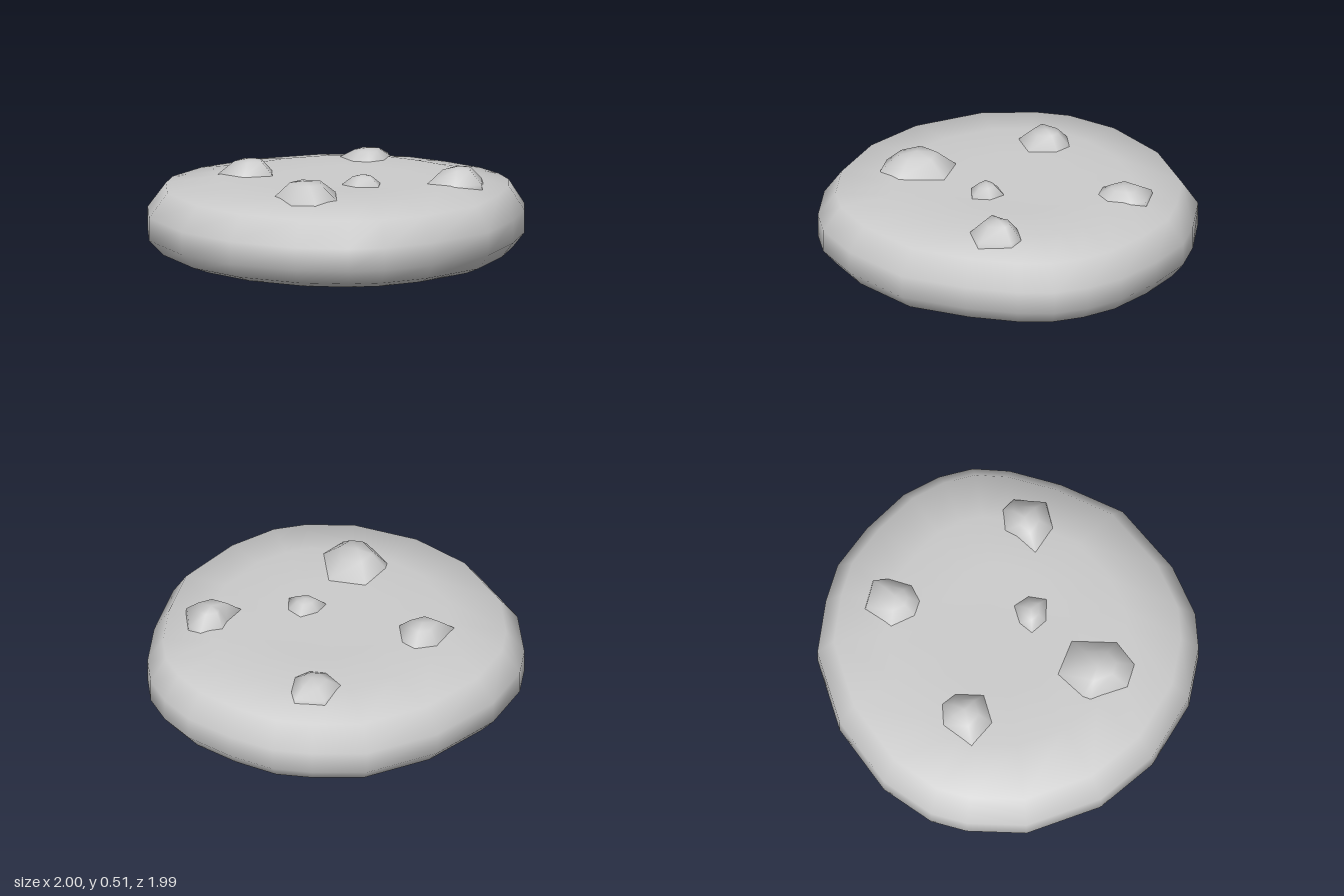
import * as THREE from 'three';

const material = new THREE.MeshStandardMaterial({ color: 0xcccccc, roughness: 0.8 });

// Stacks scaled copies of an outline [x, z] at the [scale, y] steps of a profile.
// The outline runs counter-clockwise seen from above; a scale of 0 closes to a pole.
function stackOutline(name, outline, profile) {
  const n = outline.length;
  const cx = outline.reduce((s, p) => s + p[0], 0) / n;
  const cz = outline.reduce((s, p) => s + p[1], 0) / n;
  const positions = [];
  const rings = profile.map(([scale, y]) => {
    const start = positions.length / 3;
    if (scale === 0) {
      positions.push(cx, y, cz);
      return outline.map(() => start);
    }
    outline.forEach(([x, z]) => positions.push(cx + (x - cx) * scale, y, cz + (z - cz) * scale));
    return outline.map((_, i) => start + i);
  });

  const index = [];
  for (let r = 0; r < rings.length - 1; r++) {
    const low = rings[r], high = rings[r + 1];
    for (let i = 0; i < n; i++) {
      const j = (i + 1) % n;
      if (low[i] !== low[j]) index.push(low[i], low[j], high[j]);
      if (high[i] !== high[j]) index.push(low[i], high[j], high[i]);
    }
  }
  const geometry = new THREE.BufferGeometry();
  geometry.setAttribute('position', new THREE.Float32BufferAttribute(positions, 3));
  geometry.setIndex(index);
  geometry.computeVertexNormals();
  const mesh = new THREE.Mesh(geometry, material);
  mesh.name = name;
  return mesh;
}

export function createModel() {
  const model = new THREE.Group();
  model.name = 'cookie';

  // Uneven round of dough with a flat base and a softly rounded rim
  const round = [
    [0.06, -1], [-0.34, -0.92], [-0.69, -0.72], [-0.89, -0.49], [-0.96, -0.31], [-1, 0],
    [-0.89, 0.4], [-0.68, 0.69], [-0.37, 0.91], [-0.1, 0.985], [0.09, 0.985], [0.36, 0.89],
    [0.69, 0.66], [0.87, 0.35], [0.97, 0.09], [1, -0.1], [0.97, -0.28], [0.89, -0.47],
    [0.72, -0.68], [0.53, -0.85], [0.34, -0.93],
  ];
  model.add(stackOutline('dough', round, [
    [0, 0], [0.55, 0.005], [0.84, 0.015], [0.93, 0.05], [1, 0.13],
    [1, 0.25], [0.91, 0.38], [0.64, 0.425], [0.35, 0.42], [0, 0.42],
  ]));

  // Chips: a rough outline pressed into the dough and its peak height
  const chips = [
    { top: 0.475, outline: [[0.22, -0.735], [0.1, -0.61], [0.15, -0.48], [0.23, -0.445], [0.32, -0.48], [0.37, -0.6], [0.37, -0.68]] },
    { top: 0.5, outline: [[-0.47, -0.39], [-0.6, -0.25], [-0.48, -0.13], [-0.32, -0.16], [-0.3, -0.31], [-0.35, -0.385]] },
    { top: 0.475, outline: [[0, 0.12], [0.06, 0.2], [0.18, 0.215], [0.205, 0.12], [0.16, 0.04], [0.06, 0.06]] },
    { top: 0.505, outline: [[0.44, 0.18], [0.57, 0.285], [0.72, 0.26], [0.75, 0.09], [0.7, 0.03], [0.58, 0.03], [0.54, 0.09]] },
    { top: 0.51, outline: [[-0.24, 0.23], [-0.38, 0.35], [-0.4, 0.39], [-0.34, 0.59], [-0.22, 0.64], [-0.09, 0.56], [-0.06, 0.32]] },
  ];
  chips.forEach(({ top, outline }, i) => {
    model.add(stackOutline(`chip${i + 1}`, outline, [
      [1.03, 0.385], [0.97, 0.425], [0.5, top - 0.012], [0, top],
    ]));
  });

  return model;
}
